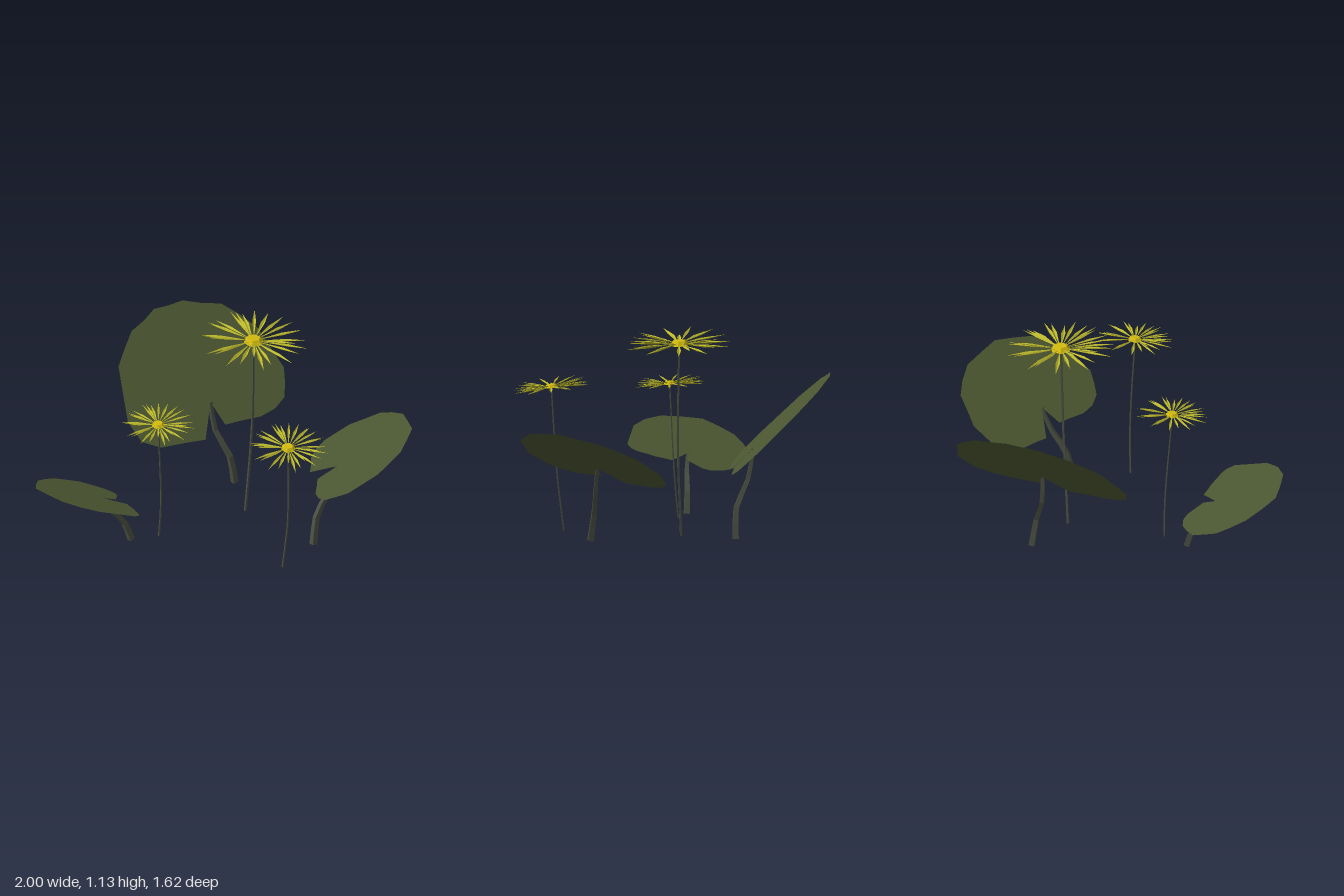
import * as THREE from 'three';

const material = (color) => new THREE.MeshStandardMaterial({ color, flatShading: true, side: THREE.DoubleSide });
const leafMat = material(0x4a5530);
const stalkMat = material(0x4a5042);
const petalMat = material(0xb9b62a);
const heartMat = material(0xd2ba0e);

function addMesh(parent, name, geometry, mat) {
  const mesh = new THREE.Mesh(geometry, mat);
  mesh.name = name;
  parent.add(mesh);
  return mesh;
}

// Four-sided stalk through the points, tapering from radius r0 to r1
function stalkGeometry(points, r0, r1) {
  const curve = new THREE.CatmullRomCurve3(points.map((p) => new THREE.Vector3(...p)));
  const steps = 6, sides = 4;
  const geo = new THREE.TubeGeometry(curve, steps, 1, sides);
  const pos = geo.attributes.position;
  const v = new THREE.Vector3();
  for (let i = 0; i < pos.count; i++) {
    const t = Math.floor(i / (sides + 1)) / steps;
    const c = curve.getPointAt(t);
    v.fromBufferAttribute(pos, i).sub(c).multiplyScalar(r0 + (r1 - r0) * t).add(c);
    pos.setXYZ(i, v.x, v.y, v.z);
  }
  return geo;
}

// Blade with a slightly ragged rim (x, z) and a notch where the stalk joins,
// lifted onto the plane y = a + b x + c z
function leafGeometry(rim, [a, b, c], [notchX, , notchZ]) {
  const notch = new THREE.Vector2(notchX, -notchZ);
  const curve = new THREE.SplineCurve(rim.map(([x, z]) => new THREE.Vector2(x, -z)));
  const edge = curve.getPoints(24).map((p, i) => p.sub(notch).multiplyScalar(i % 2 ? 0.985 : 1.01).add(notch));
  const geo = new THREE.ShapeGeometry(new THREE.Shape([notch, ...edge])).rotateX(-Math.PI / 2);
  const pos = geo.attributes.position;
  for (let i = 0; i < pos.count; i++) pos.setY(i, a + b * pos.getX(i) + c * pos.getZ(i));
  geo.computeVertexNormals();
  return geo;
}

// Unit-long folded petal pointing along +x
function petalGeometry() {
  const geo = new THREE.BufferGeometry();
  geo.setAttribute('position', new THREE.Float32BufferAttribute([
    0.1, 0, 0, 0.62, 0.012, 0.04, 0.62, -0.02, 0, 0.62, 0.012, -0.04, 1, 0, 0,
  ], 3));
  geo.setIndex([0, 1, 2, 0, 2, 3, 4, 2, 1, 4, 3, 2]);
  geo.computeVertexNormals();
  return geo;
}

const leaves = [
  {
    name: 'backLeaf', plane: [0.09, -0.56, -0.8],
    rim: [[-0.17, -0.2], [-0.5, -0.03], [-0.66, -0.3], [-0.57, -0.56], [-0.38, -0.73], [-0.08, -0.82],
      [0.18, -0.69], [0.17, -0.5], [-0.08, -0.31]],
    stalk: [[-0.035, 0, -0.355], [-0.06, 0.17, -0.34], [-0.14, 0.31, -0.355], [-0.17, 0.48, -0.37]],
  },
  {
    name: 'leftLeaf', plane: [0.065, 0.6, -0.02],
    rim: [[0.44, 0.03], [0.43, -0.22], [0.6, -0.33], [0.85, -0.26], [1, 0.05], [0.93, 0.35],
      [0.72, 0.48], [0.54, 0.39], [0.5, 0.15]],
    stalk: [[0.49, 0, 0.235], [0.505, 0.17, 0.195], [0.565, 0.29, 0.14], [0.6, 0.42, 0.1]],
  },
  {
    name: 'rightLeaf', plane: [0.03, -0.19, 0.364],
    rim: [[-0.57, 0.41], [-0.6, 0.26], [-0.8, 0.2], [-0.97, 0.33], [-0.97, 0.62], [-0.7, 0.81],
      [-0.42, 0.7], [-0.43, 0.58], [-0.5, 0.455]],
    stalk: [[-0.495, 0.01, 0.35], [-0.53, 0.13, 0.375], [-0.595, 0.23, 0.43], [-0.63, 0.31, 0.45]],
  },
];

// tilt = slope of the bloom along x and z
const flowers = [
  { name: 'tallFlower', radius: 0.3, tilt: [-0.05, 0],
    stalk: [[0.07, 0, -0.06], [0.105, 0.5, -0.065], [0.112, 1.065, -0.08]] },
  { name: 'leftFlower', radius: 0.218, tilt: [-0.05, -0.12],
    stalk: [[0.365, 0.01, 0.52], [0.398, 0.32, 0.54], [0.405, 0.8, 0.575]] },
  { name: 'rightFlower', radius: 0.2, tilt: [0, -0.08],
    stalk: [[-0.35, 0.01, 0.295], [-0.336, 0.22, 0.308], [-0.345, 0.745, 0.35]] },
];

export function createModel() {
  const model = new THREE.Group();
  model.name = 'floweringPlant';

  for (const { name, plane, rim, stalk } of leaves) {
    const group = new THREE.Group();
    group.name = name;
    addMesh(group, 'leafBlade', leafGeometry(rim, plane, stalk[3]), leafMat);
    addMesh(group, 'leafStalk', stalkGeometry(stalk, 0.022, 0.013), stalkMat);
    model.add(group);
  }

  const petalGeo = petalGeometry();
  const petalCount = 30;
  for (const { name, radius, tilt, stalk } of flowers) {
    const group = new THREE.Group();
    group.name = name;
    addMesh(group, 'flowerStalk', stalkGeometry(stalk, radius * 0.028, radius * 0.022), stalkMat);

    const bloom = new THREE.Group();
    bloom.name = 'bloom';
    bloom.position.set(...stalk[2]);
    bloom.rotation.set(-tilt[1], 0, tilt[0]);
    // Three rows of petals, the shorter ones rising more steeply
    for (let i = 0; i < petalCount; i++) {
      const row = i % 3;
      const petal = addMesh(bloom, 'petal', petalGeo, petalMat);
      petal.scale.setScalar(radius * [1, 0.96, 0.86][row]);
      petal.rotation.set(0, (i / petalCount) * Math.PI * 2 + 0.05 * Math.sin(i * 5), [-0.03, 0.05, 0.17][row]);
    }
    // Hexagonal heart of the flower
    const size = radius * 0.19;
    const heart = addMesh(bloom, 'flowerHeart', new THREE.CylinderGeometry(size * 0.65, size, size * 0.45, 6), heartMat);
    heart.position.y = size * 0.1;
    group.add(bloom);
    model.add(group);
  }
  return model;
}
